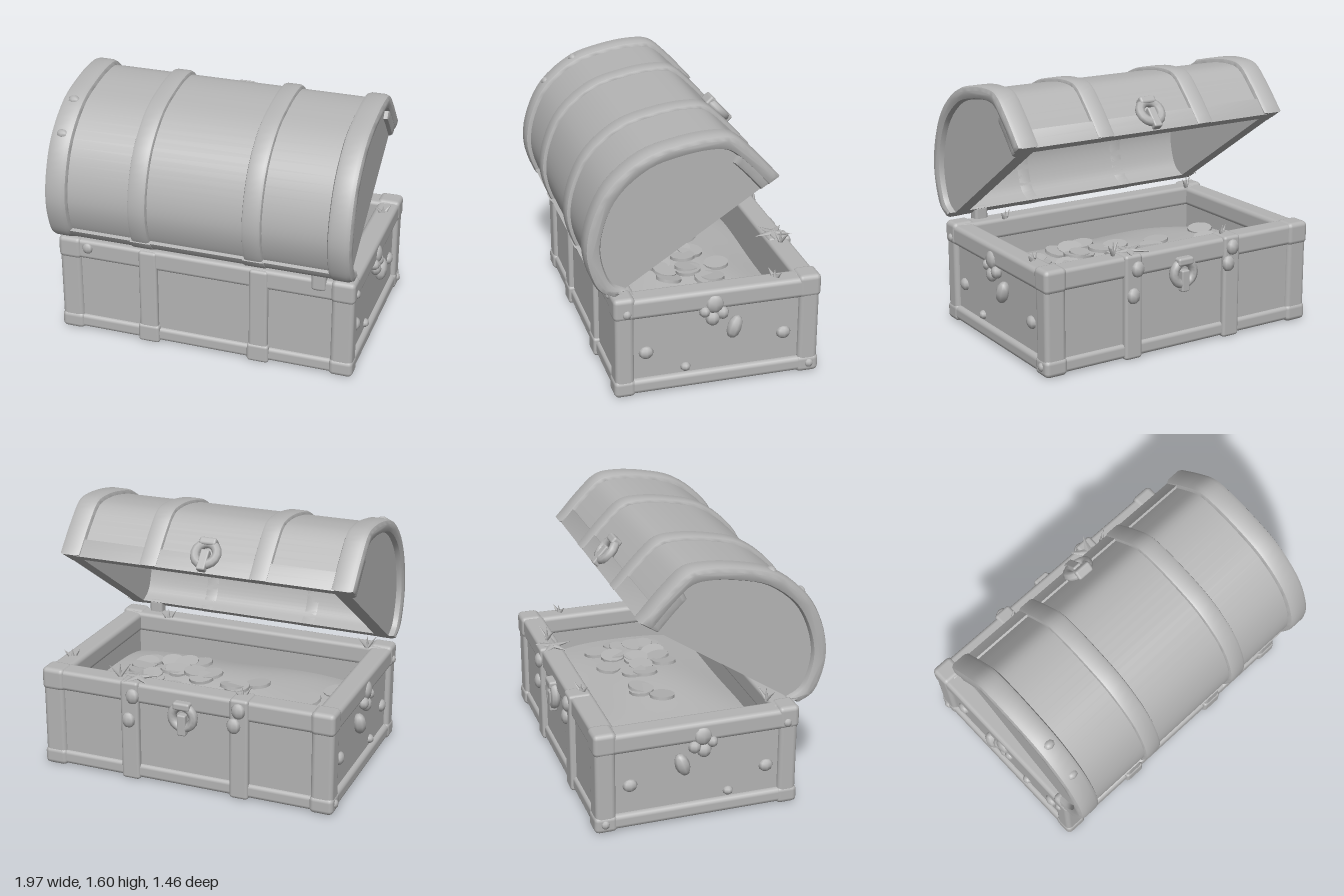
import * as THREE from 'three';
import { toCreasedNormals } from 'three/addons/utils/BufferGeometryUtils.js';
import { RoundedBoxGeometry } from 'three/addons/geometries/RoundedBoxGeometry.js';

const grey = new THREE.MeshStandardMaterial({ color: 0xb4b4b4 });
grey.name = 'stone grey';

// Lid arc as [z, y], from the hinge edge over the top to the opening edge
const arc = new THREE.CatmullRomCurve3([
  [0.565, 0.685], [0.655, 0.735], [0.705, 0.83], [0.735, 0.99], [0.70, 1.18], [0.60, 1.37], [0.40, 1.53],
  [0.20, 1.59], [0.0, 1.615], [-0.13, 1.60], [-0.25, 1.50], [-0.41, 1.325],
].map(([z, y]) => new THREE.Vector3(0, y, z))).getPoints(44);
const mid = new THREE.Vector3(0, 1.0, 0.085); // middle of the lid's flat side

function arcPoints(s, from, to) {
  return arc.slice(from, to + 1).map((p) => {
    const q = p.clone().sub(mid).multiplyScalar(s).add(mid);
    return new THREE.Vector2(-q.z, q.y);
  });
}

export function createModel() {
  const chest = new THREE.Group();
  chest.name = 'openChest';
  const body = new THREE.Group();
  body.name = 'body';
  const lid = new THREE.Group();
  lid.name = 'lid';
  const growth = new THREE.Group();
  growth.name = 'seaGrowth';
  chest.add(body, lid, growth);

  let seed = 7;
  const rand = () => (seed = (seed * 16807) % 2147483647) / 2147483647;

  function add(parent, name, geo, x = 0, y = 0, z = 0) {
    const m = new THREE.Mesh(geo, grey);
    m.name = name;
    m.position.set(x, y, z);
    parent.add(m);
    return m;
  }
  // Rounded box given by its limits
  function block(parent, name, x0, x1, y0, y1, z0, z1, r = 0.02) {
    const g = new RoundedBoxGeometry(x1 - x0, y1 - y0, z1 - z0, 2, r);
    return add(parent, name, g, (x0 + x1) / 2, (y0 + y1) / 2, (z0 + z1) / 2);
  }
  // Slice of the lid between two scales of the arc, extruded along x
  function arch(name, x0, x1, outer, inner, bevel, from = 0, to = 44) {
    const pts = arcPoints(outer, from, to);
    if (inner) pts.push(...arcPoints(inner, from, to).reverse());
    const geo = new THREE.ExtrudeGeometry(new THREE.Shape(pts), {
      depth: x1 - x0 - 2 * bevel, bevelEnabled: bevel > 0, bevelThickness: bevel,
      bevelSize: bevel, bevelOffset: -bevel, bevelSegments: 2,
    });
    geo.translate(0, 0, x0 + bevel);
    geo.rotateY(Math.PI / 2);
    return add(lid, name, toCreasedNormals(geo, 0.7));
  }

  // Body: bottom and four inset walls
  block(body, 'bottomPanel', -0.92, 0.92, 0.035, 0.1, -0.65, 0.54, 0.01);
  for (const s of [-1, 1]) block(body, 'sideWall', s > 0 ? 0.82 : -0.92, s > 0 ? 0.92 : -0.82, 0.06, 0.64, -0.64, 0.53, 0.01);
  block(body, 'hingeWall', -0.9, 0.9, 0.06, 0.64, 0.44, 0.545, 0.01);
  block(body, 'lockWall', -0.9, 0.9, 0.06, 0.64, -0.66, -0.54, 0.01);

  // Body frame: posts, rails and corner pieces
  for (const s of [-1, 1]) {
    const lo = s > 0 ? 0.81 : -0.95, hi = s > 0 ? 0.95 : -0.81;
    for (const [z0, z1] of [[0.455, 0.57], [-0.685, -0.56]]) {
      block(body, 'cornerPost', lo, hi, 0.04, 0.65, z0, z1, 0.03);
      block(body, 'lowerCorner', lo - 0.005, hi + 0.005, 0.02, 0.13, z0 - 0.008, z1 + 0.008, 0.03);
      block(body, 'upperCorner', lo - 0.005, hi + 0.005, 0.525, 0.67, z0 - 0.008, z1 + 0.008, 0.03);
    }
    block(body, 'sideTopRail', lo, hi, 0.525, 0.655, -0.66, 0.55, 0.03);
    block(body, 'sideBottomRail', lo, hi, 0.03, 0.125, -0.66, 0.55, 0.03);
  }
  for (const [z0, z1] of [[0.43, 0.565], [-0.68, -0.54]]) {
    block(body, 'longTopRail', -0.9, 0.9, 0.53, 0.66, z0, z1, 0.025);
    block(body, 'longBottomRail', -0.9, 0.9, 0.03, 0.12, z0, z1, 0.025);
  }

  // Straps round the body and over the lid
  for (const x of [-0.36, 0.355]) {
    const a = x - 0.06, b = x + 0.06;
    block(body, 'hingeSideStrap', a, b, 0.02, 0.655, 0.47, 0.575);
    block(body, 'lockSideStrap', a, b, 0.02, 0.67, -0.695, -0.55);
    block(body, 'bottomStrap', a, b, 0.024, 0.07, -0.69, 0.57);
    block(body, 'strapFoot', a - 0.01, b + 0.01, 0.018, 0.14, 0.46, 0.582);
    arch('lidStrap', a, b, 0.988, 0.86, 0.02);
    arch('lidStrapFoot', a - 0.01, b + 0.01, 1.0, 0.88, 0.012, 0, 6);
  }

  // Lid shell, edge rails, end panels and end bands
  arch('lidShell', -0.86, 0.86, 0.95, 0.86, 0);
  arch('lidHingeRail', -0.86, 0.86, 0.988, 0.88, 0.012, 0, 6);
  arch('lidOpeningRail', -0.86, 0.86, 0.975, 0.85, 0.012, 42, 44);
  for (const s of [-1, 1]) {
    const edge = (u, v) => (s > 0 ? [u, v] : [-v, -u]);
    arch('lidEndPanel', ...edge(0.82, 0.915), 0.95, 0, 0);
    arch('lidEndBand', ...edge(0.81, 0.955), 1, 0.86, 0.03);
    arch('lidEndCorner', ...edge(0.83, 0.945), 0.98, 0.78, 0.025, 38, 44);
  }

  // Hinge
  block(body, 'hinge', 0.685, 0.775, 0.59, 0.74, 0.5, 0.58);

  // Lock on the body and ring hasp lying on the lid
  function lock(parent, name, y, z, tilt) {
    const g = new THREE.Group();
    g.name = name;
    g.position.set(0, y, z);
    g.rotation.x = tilt;
    parent.add(g);
    add(g, 'lockRing', new THREE.TorusGeometry(0.07, 0.03, 8, 16));
    block(g, 'lockTab', -0.028, 0.028, -0.115, 0.02, -0.03, 0.02, 0.01);
    block(g, 'lockMount', -0.055, 0.055, 0.05, 0.1, -0.035, 0.03, 0.015);
  }
  lock(body, 'bodyLock', 0.5, -0.69, 0);
  lock(lid, 'lidHasp', 1.415, -0.325, 0.74);

  // Treasure: domed heap with loose coins
  const height = (x, z) => 0.49 + 0.015 * Math.sin(5 * x + 1) * Math.cos(6 * z) - 0.07 * x * x - 0.35 * (z + 0.02) ** 2;
  const heap = new THREE.PlaneGeometry(1.66, 1.02, 20, 12);
  heap.rotateX(-Math.PI / 2);
  heap.translate(0, 0, -0.05);
  const hp = heap.attributes.position;
  for (let i = 0; i < hp.count; i++) hp.setY(i, height(hp.getX(i), hp.getZ(i)));
  heap.computeVertexNormals();
  add(body, 'treasureHeap', heap);
  const coinGeo = toCreasedNormals(new THREE.CylinderGeometry(0.08, 0.08, 0.02, 12), 0.6);
  for (let i = 0; i < 22; i++) {
    const x = (rand() - 0.5) * 1.4, z = -0.06 + (rand() - 0.5) * 0.42;
    const c = add(body, 'coin', coinGeo, x, height(x, z) + 0.015, z);
    c.rotation.set((rand() - 0.5) * 0.45, 0, (rand() - 0.5) * 0.45);
  }
  const standingCoin = add(body, 'standingCoin', coinGeo, -0.71, 0.45, -0.44);
  standingCoin.rotation.set(0, 0.5, 1.1);

  // Barnacles and shells, mirrored on both ends
  const shellGeo = new THREE.SphereGeometry(1, 8, 6);
  function shell(name, x, y, z, rx, ry, rz, turn = 0) {
    const m = add(growth, name, shellGeo, x, y, z);
    m.scale.set(rx, ry, rz);
    m.rotation.x = turn;
  }
  for (const s of [-1, 1]) {
    for (const [z, y, r] of [[0.38, 0.29, 0.04], [-0.47, 0.3, 0.04], [0.14, 0.16, 0.028]]) shell('barnacle', s * 0.92, y, z, 0.03, r, r * 1.15);
    for (const [z, y] of [[0.5, 0.57], [-0.63, 0.08]]) shell('barnacle', s * 0.95, y, z, 0.022, 0.028, 0.028);
    shell('sideShell', s * 0.94, 0.395, -0.155, 0.045, 0.075, 0.045, -0.35);
    for (const [z, y, r] of [[-0.03, 0.565, 0.06], [-0.02, 0.47, 0.045], [0.03, 0.52, 0.035], [-0.08, 0.5, 0.04]]) shell('shellCluster', s * 0.94, y, z, 0.035, r, r);
  }
  for (const [z, y] of [[0.575, 1.375], [0.39, 1.52]]) shell('barnacle', -0.88, y, z, 0.04, 0.03, 0.03);
  shell('barnacle', -0.76, 0.61, 0.565, 0.035, 0.035, 0.02);
  for (const [x, y] of [[-0.36, 0.6], [-0.33, 0.5], [0.33, 0.58], [0.36, 0.42]]) shell('lockSideShell', x, y, -0.695, 0.045, 0.05, 0.03);

  // Starfish on the lock-side rail
  for (let i = 0; i < 5; i++) {
    const arm = new THREE.ConeGeometry(0.035, 0.13, 6);
    arm.translate(0, 0.06, 0);
    arm.rotateX(Math.PI / 2);
    arm.scale(1, 0.4, 1);
    arm.rotateY((i * Math.PI * 2) / 5 + 0.2);
    add(growth, 'starfishArm', arm, 0.33, 0.672, -0.6);
  }

  // Weed sprigs on the rims
  const sprigGeo = new THREE.ConeGeometry(0.013, 0.1, 5);
  for (const [x, z, h] of [[0.45, -0.61, 1], [-0.35, -0.6, 0.6], [-0.8, 0.42, 0.9], [0.6, 0.43, 0.6], [0.88, -0.42, 0.5]]) {
    for (const t of [-0.6, 0, 0.6]) {
      const m = add(growth, 'weedSprig', sprigGeo, x - t * 0.05, 0.66 + 0.045 * h, z + t * 0.03);
      m.scale.y = h;
      m.rotation.set(t * 0.7, 0, t);
    }
  }
  return chest;
}
